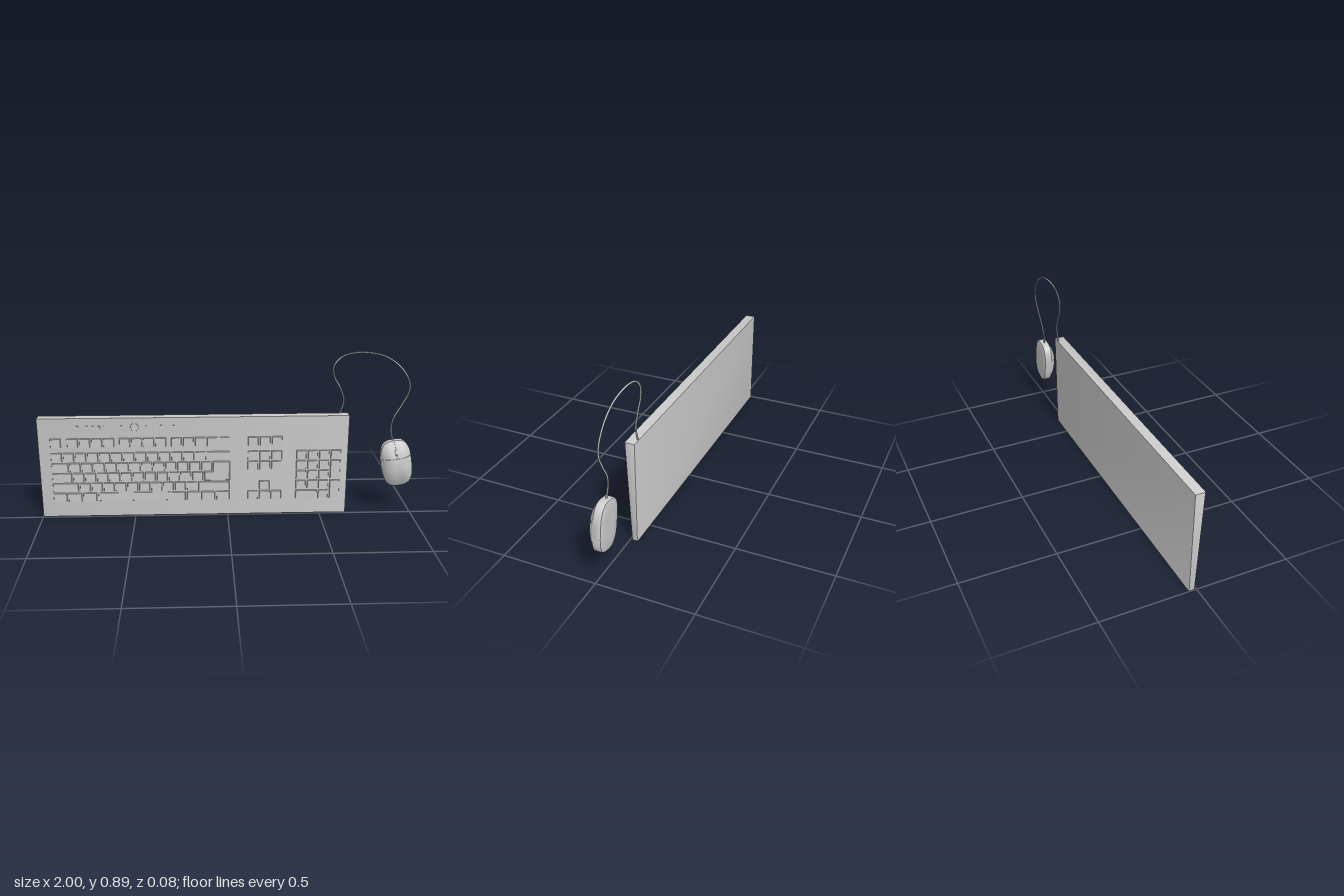
import * as THREE from 'three';
import { toCreasedNormals } from 'three/addons/utils/BufferGeometryUtils.js';

const mat = new THREE.MeshStandardMaterial({ color: 0xcccccc });
const BACK = -0.04;                 // common rear plane
const U = 0.0636, ROW = 0.0577;     // key pitch across and between rows
const GAP = 0.006;

function add(parent, name, geometry, x = 0, y = 0, z = 0) {
  const m = new THREE.Mesh(geometry, mat);
  m.name = name;
  m.position.set(x, y, z);
  parent.add(m);
  return m;
}

function polygon(points) {
  return new THREE.Shape(points.map(([x, y]) => new THREE.Vector2(x, y)));
}

// Key cap: a box whose front face is slightly smaller than its foot
function keyCap(parent, name, x, y, w, h, height = 0.007) {
  const depth = height + 0.004;
  const geo = new THREE.BoxGeometry(w - GAP, h - GAP, depth);
  const p = geo.attributes.position;
  for (let i = 0; i < p.count; i++) {
    if (p.getZ(i) > 0) {
      p.setX(i, p.getX(i) - Math.sign(p.getX(i)) * 0.003);
      p.setY(i, p.getY(i) - Math.sign(p.getY(i)) * 0.003);
    }
  }
  geo.computeVertexNormals();
  add(parent, name, geo, x + w / 2, y - h / 2, height - depth / 2);
}

// Row of keys with widths in key units; negative widths are gaps
function keyRow(parent, name, x, y, widths, unit = U) {
  for (const w of widths) {
    if (w > 0) keyCap(parent, w > 5 ? 'spaceBar' : name, x, y, w * unit, ROW, w > 5 ? 0.0015 : 0.007);
    x += Math.abs(w) * unit;
  }
}

const ones = (n) => Array(n).fill(1);

function buildKeyboard() {
  const g = new THREE.Group();
  g.name = 'keyboard';

  // Wedge-shaped case, thicker at the top
  const b = 0.004, len = 1.645;
  const side = polygon([[BACK + b, b], [-0.010 - b, b], [0.012 - b, 0.56 - b], [BACK + b, 0.56 - b]]);
  const body = new THREE.ExtrudeGeometry(side, {
    depth: len - 2 * b, bevelThickness: b, bevelSize: b, bevelSegments: 2,
  });
  body.rotateY(-Math.PI / 2);
  add(g, 'case', toCreasedNormals(body, 0.5), 0.645 - b);

  // Everything on the sloping front sits in this tilted group
  const deck = new THREE.Group();
  deck.name = 'keyDeck';
  deck.position.z = -0.010;
  deck.rotation.x = Math.atan2(0.022, 0.56);
  g.add(deck);

  // Main block
  const left = -0.94, top = 0.372, fTop = 0.453;
  keyRow(deck, 'functionKey', left, fTop,
    [1, -0.4, ...ones(4), -0.3, ...ones(4), -0.3, ...ones(4), -0.05, 0.95]);
  const rows = [
    [...ones(13), 2],
    [1.5, ...ones(12)],
    [1.75, ...ones(11)],
    [2.25, ...ones(10), 2.75],
    [1.25, 1.25, 1.25, 6.25, 1.25, 1.25, 1.25, 1.25],
  ];
  rows.forEach((widths, i) => keyRow(deck, 'mainKey', left, top - i * ROW, widths));

  // L-shaped enter key spanning two rows
  const h = GAP / 2, xr = left + 15 * U - h, y0 = top - 3 * ROW + h;
  const enter = polygon([
    [left + 12.75 * U + h, y0], [xr, y0], [xr, top - ROW - h], [left + 13.5 * U + h, top - ROW - h],
    [left + 13.5 * U + h, top - 2 * ROW - h], [left + 12.75 * U + h, top - 2 * ROW - h],
  ]);
  add(deck, 'enterKey', new THREE.ExtrudeGeometry(enter, {
    depth: 0.006, bevelThickness: 0.003, bevelSize: 0.003, bevelOffset: -0.003, bevelSegments: 1,
  }), 0, 0, -0.002);

  // Navigation and arrow keys
  const nav = 0.103;
  keyRow(deck, 'navigationKey', nav, fTop, ones(3));
  keyRow(deck, 'navigationKey', nav, top, ones(3));
  keyRow(deck, 'navigationKey', nav, top - ROW, ones(3));
  keyRow(deck, 'arrowKey', nav + U, top - 3 * ROW, [1]);
  keyRow(deck, 'arrowKey', nav, top - 4 * ROW, ones(3));

  // Number pad with two tall keys on its right
  const pad = 0.364, pu = 0.0615;
  [ones(4), ones(3), ones(3), ones(3), [2, 1]].forEach((widths, i) =>
    keyRow(deck, 'numberPadKey', pad, top - i * ROW, widths, pu));
  for (const i of [1, 3]) keyCap(deck, 'tallPadKey', pad + 3 * pu, top - i * ROW, pu, 2 * ROW);

  // Strip of small buttons around a round one
  for (const x of [-0.79, -0.74, -0.708, -0.676, -0.644, -0.61, -0.56,
    -0.425, -0.382, -0.35, -0.286, -0.19]) {
    add(deck, 'mediaButton', new THREE.BoxGeometry(0.011, 0.013, 0.008), x, 0.512, 0.002);
  }
  const dial = new THREE.CylinderGeometry(0.019, 0.021, 0.008, 24).rotateX(Math.PI / 2);
  add(deck, 'roundButton', dial, -0.49, 0.51, 0.002);
  add(deck, 'roundButtonRing', new THREE.TorusGeometry(0.02, 0.002, 6, 24), -0.49, 0.51, 0.004);
  return g;
}

// Mouse plan is a superellipse; its height follows the same measure
const A = 0.082, B = 0.129, RIM = 0.002;
function domeHeight(u, v) {
  const s = Math.min(1, Math.cbrt(Math.abs(u / A) ** 3 + Math.abs(v / B) ** 3));
  const across = (u / A) ** 2 / ((u / A) ** 2 + (v / B) ** 2 + 1e-9);
  return RIM + 0.040 * (1 - s ** (2 + 1.2 * across));
}

function buildMouse() {
  const g = new THREE.Group();
  g.name = 'mouse';
  g.position.set(0.912, 0.285, 0);
  g.rotation.z = 0.165;

  // Rings [scale, z]: base, wall, then the dome up to its crown
  const rings = [[0, BACK], [0.5, BACK], [0.93, BACK], [0.975, BACK + 0.002], [1, BACK + 0.008], [1, -0.01]];
  for (let i = 0; i <= 16; i++) rings.push([Math.cos((i / 16) * Math.PI / 2), null]);
  const N = 64, pos = [], idx = [];
  rings.forEach(([s, z], r) => {
    for (let i = 0; i < N; i++) {
      const t = (i / N) * Math.PI * 2, c = Math.cos(t), n = Math.sin(t);
      const k = s / Math.cbrt(Math.abs(c) ** 3 + Math.abs(n) ** 3);
      const u = A * c * k, v = B * n * k;
      pos.push(u, v, z ?? domeHeight(u, v));
      if (r > 0) {
        const j = (i + 1) % N, a = (r - 1) * N, d = r * N;
        idx.push(a + i, a + j, d + j, a + i, d + j, d + i);
      }
    }
  });
  const shell = new THREE.BufferGeometry();
  shell.setAttribute('position', new THREE.Float32BufferAttribute(pos, 3));
  shell.setIndex(idx);
  add(g, 'mouseShell', toCreasedNormals(shell, 0.6));

  // Fine seams that outline the two buttons
  const seam = (name, u0, v0, u1, v1) => {
    const pts = [];
    for (let i = 0; i <= 16; i++) {
      const u = u0 + (u1 - u0) * i / 16, v = v0 + (v1 - v0) * i / 16;
      pts.push(new THREE.Vector3(u, v, domeHeight(u, v)));
    }
    add(g, name, new THREE.TubeGeometry(new THREE.CatmullRomCurve3(pts), 24, 0.0012, 5));
  };
  seam('buttonSeam', -0.081, 0.036, 0.081, 0.036);
  seam('buttonDivider', 0, 0.036, 0, 0.127);

  // Scroll wheel
  const wheel = new THREE.CylinderGeometry(0.02, 0.02, 0.012, 24).rotateZ(Math.PI / 2);
  add(g, 'scrollWheel', wheel, 0, 0.066, domeHeight(0, 0.066) - 0.013);
  return g;
}

// Cable looping from the keyboard's top edge to the mouse
function buildCable() {
  const zc = BACK + 0.0045;
  const path = [
    [0.592, 0.545, zc], [0.606, 0.58, zc], [0.617, 0.635, zc], [0.595, 0.70, zc], [0.561, 0.765, zc],
    [0.560, 0.82, zc], [0.60, 0.866, zc], [0.66, 0.885, zc], [0.74, 0.886, zc], [0.83, 0.865, zc],
    [0.91, 0.81, zc], [0.96, 0.735, zc], [0.965, 0.68, zc + 0.001], [0.93, 0.605, zc + 0.004],
    [0.887, 0.53, zc + 0.008], [0.876, 0.47, zc + 0.013], [0.888, 0.405, zc + 0.019],
  ].map((p) => new THREE.Vector3(...p));
  return new THREE.TubeGeometry(new THREE.CatmullRomCurve3(path), 140, 0.0045, 8);
}

export function createModel() {
  const model = new THREE.Group();
  model.name = 'keyboardAndMouse';
  model.add(buildKeyboard(), buildMouse());
  add(model, 'cable', buildCable());
  return model;
}
